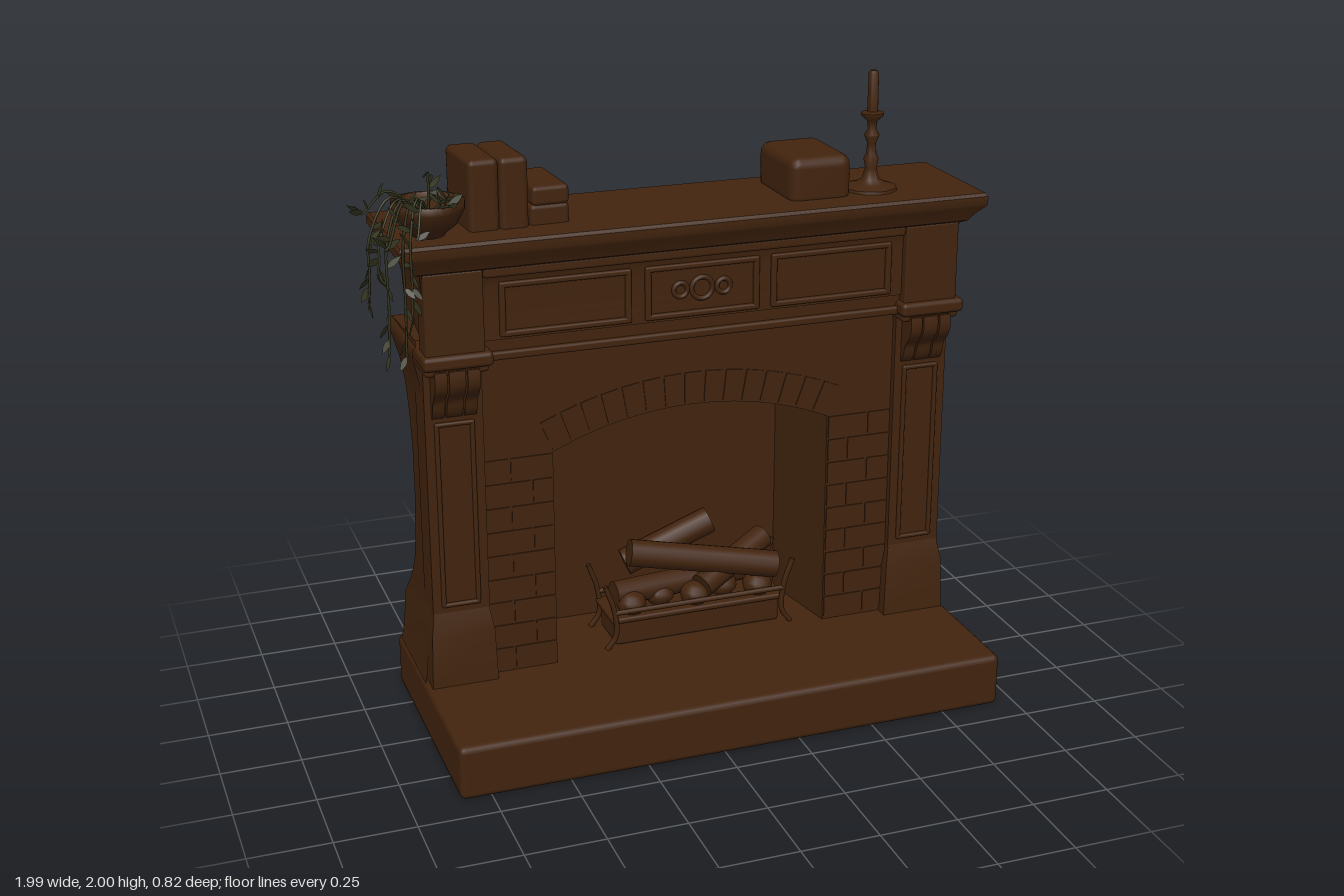
import * as THREE from 'three';
import { toCreasedNormals } from 'three/addons/utils/BufferGeometryUtils.js';
import { RoundedBoxGeometry } from 'three/addons/geometries/RoundedBoxGeometry.js';

const wood = new THREE.MeshStandardMaterial({ color: 0x42240e, side: THREE.DoubleSide });
wood.name = 'dark brown';
const green = new THREE.MeshStandardMaterial({ color: 0x34351f, side: THREE.DoubleSide });
green.name = 'dull green';

const V = (x, y, z) => new THREE.Vector3(x, y, z);

function add(parent, name, geo, mat = wood, x = 0, y = 0, z = 0) {
  const m = new THREE.Mesh(geo, mat);
  m.name = name;
  m.position.set(x, y, z);
  parent.add(m);
  return m;
}

// Box given by its limits, with optional rounding
function block(parent, name, x0, x1, y0, y1, z0, z1, r = 0) {
  const [w, h, d] = [x1 - x0, y1 - y0, z1 - z0];
  const g = r ? new RoundedBoxGeometry(w, h, d, 2, r) : new THREE.BoxGeometry(w, h, d);
  return add(parent, name, g, wood, (x0 + x1) / 2, (y0 + y1) / 2, (z0 + z1) / 2);
}

// Skin over stacked rings of equal point count
function loft(rings, closed, crease = 0.6) {
  const n = rings[0].length, idx = [];
  for (let i = 0; i < rings.length - 1; i++) {
    for (let j = 0; j < (closed ? n : n - 1); j++) {
      const k = (j + 1) % n, a = i * n + j, b = i * n + k, c = b + n, d = a + n;
      idx.push(a, b, c, a, c, d);
    }
  }
  const g = new THREE.BufferGeometry();
  g.setAttribute('position', new THREE.Float32BufferAttribute(rings.flat(2), 3));
  g.setIndex(idx);
  return toCreasedNormals(g, crease);
}

// Round bar between two points
function rod(parent, name, a, b, r, sides = 14) {
  const m = add(parent, name, new THREE.CylinderGeometry(r, r, a.distanceTo(b), sides));
  m.position.copy(a).add(b).multiplyScalar(0.5);
  m.quaternion.setFromUnitVectors(V(0, 1, 0), b.clone().sub(a).normalize());
  return m;
}

function tube(parent, name, pts, r, mat = wood) {
  return add(parent, name, new THREE.TubeGeometry(new THREE.CatmullRomCurve3(pts), 20, r, 6), mat);
}

// Body shell: sides hollowed towards the back, bulging back, sloped top
function bodyShell() {
  const rows = [ // y, half width, z of back corner, z of back middle
    [0.16, 0.89, -0.385, -0.405], [0.22, 0.88, -0.375, -0.395], [0.35, 0.872, -0.36, -0.40],
    [0.42, 0.862, -0.31, -0.40], [0.5, 0.86, -0.255, -0.40], [0.6, 0.86, -0.225, -0.40],
    [0.75, 0.86, -0.205, -0.40], [0.9, 0.86, -0.205, -0.40], [1.0, 0.86, -0.225, -0.40],
    [1.1, 0.86, -0.265, -0.40], [1.17, 0.865, -0.31, -0.40], [1.22, 0.875, -0.355, -0.405],
    [1.25, 0.882, -0.375, -0.412], [1.275, 0.88, -0.375, -0.412], [1.285, 0.872, -0.365, -0.40],
  ];
  const rings = rows.map(([y, w, e, c]) => {
    const ring = [[w, y, -0.04]];
    for (let i = 0; i <= 28; i++) {
      const u = 1 - i / 14;
      const t = 1 - THREE.MathUtils.smoothstep(Math.abs(u), 0.5, 1);
      ring.push([w * u, y, e + (c - e) * t]);
    }
    ring.push([-w, y, -0.04]);
    return ring;
  });
  rings.push(rings.at(-1).map(([x]) => [x, 1.305, -0.04]));
  return loft(rings, false);
}

// Frieze and shelf: stepped cornice with an undercut back
function mantelShelf() {
  const rows = [ // y, half width, front z, back z
    [1.3, 0.855, 0.02, -0.05], [1.325, 0.858, 0.02, -0.06], [1.355, 0.86, 0.02, -0.18],
    [1.385, 0.86, 0.02, -0.22], [1.46, 0.862, 0.02, -0.235], [1.5, 0.865, 0.025, -0.265],
    [1.525, 0.868, 0.04, -0.29], [1.535, 0.885, 0.06, -0.305], [1.56, 0.905, 0.072, -0.325],
    [1.58, 0.93, 0.085, -0.345], [1.59, 0.937, 0.09, -0.353], [1.615, 0.937, 0.09, -0.353],
    [1.625, 0.93, 0.083, -0.345], [1.625, 0, -0.13, -0.13],
  ];
  const rings = rows.map(([y, w, f, b]) => [[-w, y, f], [w, y, f], [w, y, b], [-w, y, b]]);
  rings.unshift(rings[0].map(([, y]) => [0, y, -0.01]));
  return loft(rings, true, 0.5);
}

// Brick surround with arched opening, its throat narrowing inwards
function surround() {
  const s = new THREE.Shape();
  s.moveTo(-0.7, 0.16).lineTo(-0.46, 0.16).lineTo(-0.46, 0.9);
  s.absarc(0, -0.108, 1.108, Math.PI / 2 + 0.428, Math.PI / 2 - 0.428, true);
  s.lineTo(0.46, 0.16).lineTo(0.7, 0.16).lineTo(0.7, 1.25).lineTo(-0.7, 1.25).lineTo(-0.7, 0.16);
  const g = new THREE.ExtrudeGeometry(s, { depth: 0.31, bevelEnabled: false, curveSegments: 20 });
  g.translate(0, 0, -0.34);
  const p = g.attributes.position;
  for (let i = 0; i < p.count; i++) {
    if (p.getZ(i) > -0.2) continue;
    const x = p.getX(i);
    p.setX(i, Math.abs(x) > 0.5 ? Math.sign(x) * 0.5 : x * 0.88);
    if (p.getY(i) < 1.1) p.setY(i, p.getY(i) * 0.985);
  }
  return toCreasedNormals(g, 0.5);
}

// Rectangular raised moulding on a face
function frame(parent, name, x0, x1, y0, y1, z, t = 0.018) {
  const g = new THREE.Group();
  g.name = name;
  parent.add(g);
  for (const y of [y0, y1 - t]) block(g, 'rail', x0, x1, y, y + t, z - 0.01, z + 0.014, 0.006);
  for (const x of [x0, x1 - t]) block(g, 'stile', x, x + t, y0, y1, z - 0.01, z + 0.014, 0.006);
}

function pilaster(parent, side) {
  const g = new THREE.Group();
  g.name = side > 0 ? 'leftPilaster' : 'rightPilaster';
  g.position.x = side * 0.772;
  parent.add(g);
  block(g, 'shaft', -0.09, 0.09, 0.17, 1.25, -0.12, -0.008);
  frame(g, 'shaftMoulding', -0.062, 0.062, 0.44, 1.05, -0.012, 0.014);
  const ring = (y, w, z) => [[-w, y, z], [w, y, z], [w, y, -0.11], [-w, y, -0.11]];
  add(g, 'plinth', loft([ring(0.17, 0.106, 0.014), ring(0.35, 0.1, 0.01), ring(0.42, 0.088, -0.008)], true));
  // Scrolled corbel
  const c = new THREE.Shape();
  c.moveTo(-0.04, 1.23).lineTo(0.058, 1.23);
  c.bezierCurveTo(0.075, 1.16, 0.03, 1.15, 0.018, 1.12);
  c.bezierCurveTo(0.012, 1.08, -0.005, 1.06, -0.02, 1.06);
  c.lineTo(-0.04, 1.06);
  for (const [x, w] of [[-0.05, 0.038], [0, 0.05], [0.05, 0.038]]) {
    const e = new THREE.ExtrudeGeometry(c, { depth: w, bevelEnabled: false, curveSegments: 8 });
    e.translate(0, 0, -w / 2).rotateY(-Math.PI / 2).scale(1, 1, 1);
    add(g, 'corbel', toCreasedNormals(e, 0.6), wood, x);
  }
  block(g, 'capital', -0.102, 0.112, 1.235, 1.28, -0.15, 0.066, 0.014);
  block(g, 'capitalNeck', -0.096, 0.1, 1.215, 1.245, -0.12, 0.05, 0.01);
  block(g, 'friezeBlock', -0.09, 0.09, 1.27, 1.53, -0.04, 0.048, 0.006);
}

function fireGrate(parent) {
  const g = new THREE.Group();
  g.name = 'fireGrate';
  g.position.set(0.085, 0, 0);
  parent.add(g);
  block(g, 'ashPan', -0.285, 0.285, 0.175, 0.265, -0.24, -0.075, 0.012);
  block(g, 'ashPanLip', -0.3, 0.3, 0.255, 0.275, -0.25, -0.065, 0.008);
  for (const z of [-0.06, -0.24]) {
    rod(g, 'grateBar', V(-0.29, 0.3, z), V(0.29, 0.3, z), 0.009, 8);
    for (const s of [-1, 1]) {
      tube(g, 'grateHorn', [V(s * 0.32, 0.175, z), V(s * 0.29, 0.22, z), V(s * 0.295, 0.31, z), V(s * 0.325, 0.4, z)], 0.009);
    }
  }
  for (let i = 0; i < 5; i++) {
    const x = -0.22 + i * 0.11;
    add(g, 'ember', new THREE.SphereGeometry(0.05, 12, 8), wood, x, 0.305, -0.11 - (i % 2) * 0.04).scale.set(1, 0.8, 1);
  }
  const logs = [
    [V(-0.27, 0.33, -0.14), V(0.25, 0.33, -0.2), 0.042], [V(-0.21, 0.46, -0.16), V(0.28, 0.37, -0.1), 0.045],
    [V(-0.2, 0.39, -0.24), V(0.09, 0.51, -0.22), 0.045], [V(0.02, 0.33, -0.1), V(0.28, 0.42, -0.22), 0.042],
  ];
  for (const [a, b, r] of logs) rod(g, 'log', a, b, r);
}

function pottedPlant(parent) {
  const g = new THREE.Group();
  g.name = 'pottedPlant';
  g.position.set(-0.77, 1.622, -0.035);
  parent.add(g);
  const bowl = [[0, 0], [0.045, 0], [0.05, 0.012], [0.085, 0.04], [0.108, 0.085], [0.108, 0.108], [0.095, 0.108], [0.09, 0.085], [0, 0.08]];
  add(g, 'bowl', new THREE.LatheGeometry(bowl.map(([x, y]) => new THREE.Vector2(x, y)), 28));
  const s = new THREE.Shape();
  s.moveTo(0, 0).quadraticCurveTo(0.02, 0.022, 0, 0.055).quadraticCurveTo(-0.02, 0.022, 0, 0);
  const leaf = new THREE.ShapeGeometry(s, 5);
  // Stems rising from the soil and vines hanging over the shelf edge: end points
  const ends = [
    [-0.2, -0.16, 0.07], [-0.16, -0.3, 0.13], [-0.11, -0.31, 0.13], [-0.09, -0.2, 0.14], [-0.17, 0.03, 0.19],
    [-0.19, 0.08, -0.03], [-0.1, 0.15, 0.07], [0, 0.2, 0.02], [0.03, 0.13, 0.15], [-0.08, 0.05, 0.19],
    [0.06, 0.13, 0.06], [-0.18, -0.06, 0.12],
  ];
  ends.forEach(([x, y, z], n) => {
    const low = y < 0.1;
    const pts = [V(x * 0.15, 0.08, z * 0.3), V(x * 0.6, low ? 0.14 : 0.11, z * 0.7)];
    if (low) pts.push(V(x * 0.95, Math.max(0.03, y), z));
    if (y < 0) pts.push(V(x * 0.97, y * 0.5, z * 1.02));
    pts.push(V(x, y - 0.005, z));
    const stem = tube(g, 'stem', pts, 0.004, green);
    const curve = stem.geometry.parameters.path;
    for (let i = 0; i < (y < 0 ? 8 : 5); i++) {
      const p = curve.getPoint(0.45 + (0.55 * i) / (y < 0 ? 7 : 4));
      const m = add(g, 'leaf', leaf, green, p.x, p.y, p.z);
      const hang = y < 0 && i > 2;
      m.rotation.set(Math.sin(i * 5 + n) * 0.7, i * 2.4 + n, (hang ? 2.6 : 1.1) * (i % 2 ? 1 : -1));
      m.scale.setScalar(0.75 + 0.3 * Math.abs(Math.sin(n * 3 + i)));
    }
  });
}

export function createModel() {
  const model = new THREE.Group();
  model.name = 'fireplace';
  const f = new THREE.Group();
  f.name = 'mantelpiece';
  f.position.x = 0.048;
  model.add(f);

  block(f, 'hearth', -0.895, 0.895, 0, 0.175, -0.41, 0.41, 0.02);
  add(f, 'body', bodyShell());
  add(f, 'surround', surround());
  block(f, 'fireboxBack', -0.48, 0.48, 0.16, 1.05, -0.36, -0.335);
  add(f, 'mantelShelf', mantelShelf());
  for (const s of [-1, 1]) pilaster(f, s);

  // Faint brick courses beside the opening and around the arch
  for (const s of [-1, 1]) {
    for (let i = 0; i < 9; i++) {
      const y = 0.185 + i * 0.08;
      const cut = i % 2 ? 0.53 : 0.6;
      for (const [a, b] of [[0.465, cut - 0.004], [cut + 0.004, 0.68]]) {
        block(f, 'brick', Math.min(s * a, s * b), Math.max(s * a, s * b), y, y + 0.072, -0.034, -0.026);
      }
    }
  }
  for (let i = 0; i < 15; i++) {
    const a = -0.4 + (0.8 * i) / 14;
    const m = add(f, 'archBrick', new THREE.BoxGeometry(0.056, 0.1, 0.008), wood,
      Math.sin(a) * 1.165, -0.108 + Math.cos(a) * 1.165, -0.03);
    m.rotation.z = -a;
  }

  // Frieze mouldings and panels
  block(f, 'lowerMoulding', -0.69, 0.69, 1.235, 1.262, -0.05, 0.022, 0.008);
  block(f, 'friezeBase', -0.69, 0.69, 1.25, 1.31, -0.06, 0.008);
  block(f, 'upperMoulding', -0.68, 0.68, 1.5, 1.535, -0.03, 0.048, 0.01);
  for (const [a, b] of [[-0.63, -0.22], [-0.175, 0.195], [0.235, 0.64]]) frame(f, 'friezePanel', a, b, 1.31, 1.48, 0.02);
  // Carved ornament in the middle panel
  const orn = new THREE.Group();
  orn.name = 'carvedOrnament';
  f.add(orn);
  for (const [x, r] of [[0.01, 0.034], [-0.06, 0.022], [0.08, 0.022]]) {
    add(orn, 'rosette', new THREE.TorusGeometry(r, 0.008, 6, 20), wood, x, 1.395, 0.02);
  }
  fireGrate(model);

  // Objects on the shelf
  for (const [x, w] of [[-0.61, 0.094], [-0.518, 0.088]]) {
    block(model, 'uprightBook', x - w / 2, x + w / 2, 1.61, 1.838, -0.258, -0.02, 0.018).rotation.y = 0.05;
  }
  for (const [y0, y1, d] of [[1.61, 1.685, 0], [1.68, 1.74, 0.006]]) {
    block(model, 'stackedBook', -0.467 + d, -0.345, y0, y1, -0.275, -0.035, 0.014).rotation.y = 0.04;
  }
  block(model, 'mantelBox', 0.365, 0.57, 1.6, 1.758, -0.305, -0.02, 0.035);
  const stick = [[0, 0], [0.085, 0], [0.082, 0.012], [0.05, 0.022], [0.028, 0.035], [0.018, 0.07], [0.024, 0.1], [0.016, 0.115],
    [0.014, 0.15], [0.024, 0.175], [0.013, 0.195], [0.016, 0.22], [0.036, 0.238], [0.036, 0.246], [0.017, 0.25], [0.016, 0.37], [0.01, 0.378], [0, 0.378]];
  add(model, 'candlestick', toCreasedNormals(new THREE.LatheGeometry(stick.map(([x, y]) => new THREE.Vector2(x, y)), 24), 0.9),
    wood, 0.662, 1.622, -0.09);
  pottedPlant(model);
  return model;
}
